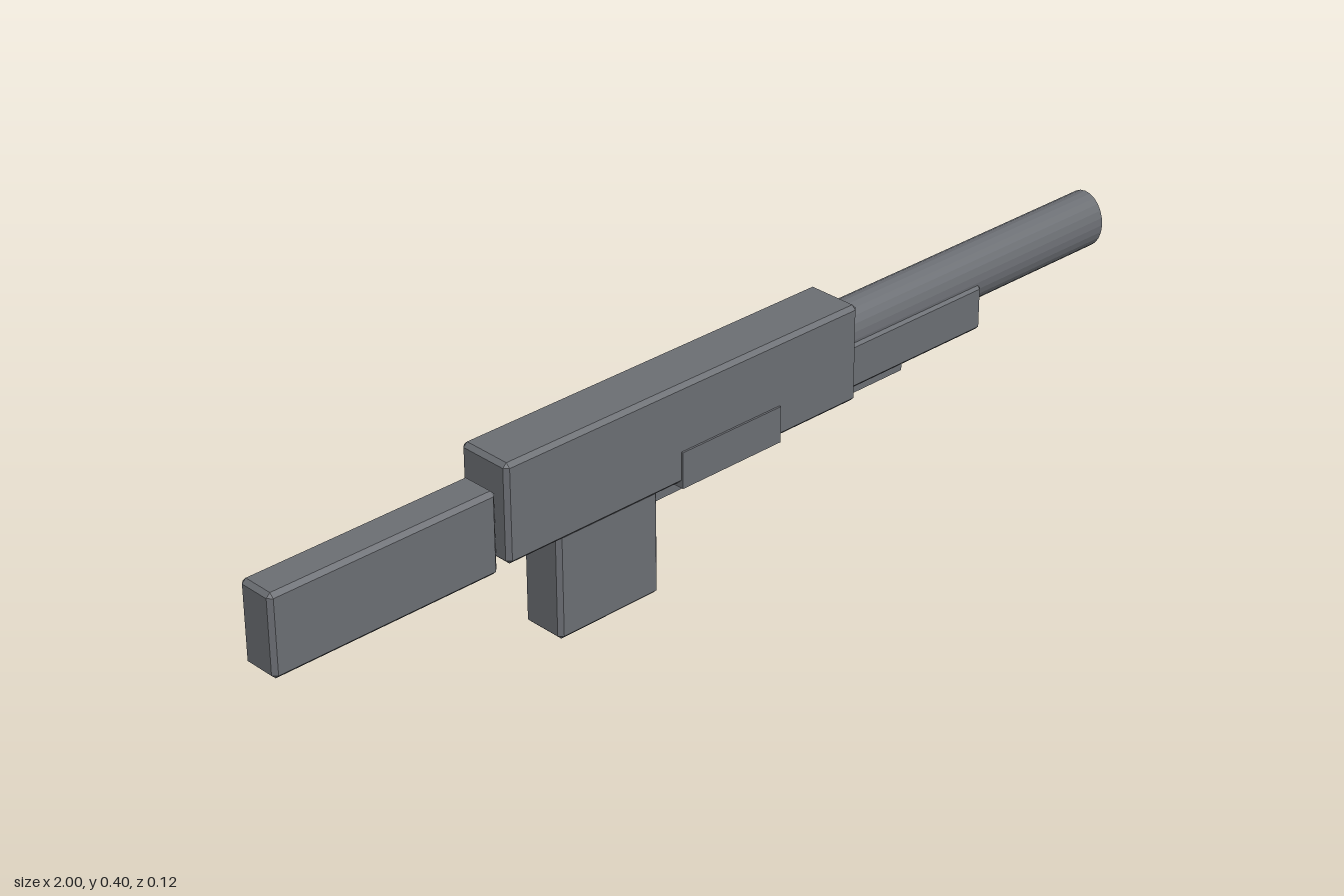
import * as THREE from 'three';
import { ConvexGeometry } from 'three/addons/geometries/ConvexGeometry.js';

// Box with every edge cut off by c, the hull of its three inset face pairs
function chamferBox(w, h, d, c) {
  const points = [];
  for (const sx of [-1, 1]) for (const sy of [-1, 1]) for (const sz of [-1, 1]) {
    for (let axis = 0; axis < 3; axis++) {
      const inset = [c, c, c];
      inset[axis] = 0;
      points.push(new THREE.Vector3(
        sx * (w / 2 - inset[0]), sy * (h / 2 - inset[1]), sz * (d / 2 - inset[2])));
    }
  }
  return new ConvexGeometry(points);
}

export function createModel() {
  const model = new THREE.Group();
  model.name = 'blockyModel';

  const gunmetal = new THREE.MeshStandardMaterial({ color: 0x6b6e73, flatShading: true });
  gunmetal.name = 'gunmetal';

  // Block given by its limits on each axis
  function block(name, [x0, x1], [y0, y1], [z0, z1], chamfer = 0) {
    const size = [x1 - x0, y1 - y0, z1 - z0];
    const geometry = chamfer ? chamferBox(...size, chamfer) : new THREE.BoxGeometry(...size);
    const mesh = new THREE.Mesh(geometry, gunmetal);
    mesh.name = name;
    mesh.position.set((x0 + x1) / 2, (y0 + y1) / 2, (z0 + z1) / 2);
    model.add(mesh);
  }

  // Chamfered main blocks
  block('body', [-0.52, 0.316], [0.206, 0.4], [-0.059, 0.056], 0.008);
  block('rearStock', [-1, -0.524], [0.185, 0.346], [-0.042, 0.036], 0.008);
  block('handle', [-0.4, -0.166], [0, 0.24], [-0.047, 0.046], 0.008);
  block('foreBlock', [0.28, 0.656], [0.226, 0.32], [-0.053, 0.05], 0.008);

  // Plain small blocks
  block('underGuard', [-0.167, 0.066], [0.172, 0.225], [-0.026, 0.025]);
  block('underRail', [0.23, 0.467], [0.2, 0.24], [-0.026, 0.025]);
  block('sidePlate', [-0.122, 0.118], [0.198, 0.27], [0.03, 0.06]);

  // Front tube, slightly oval
  const tube = new THREE.Mesh(new THREE.CylinderGeometry(1, 1, 0.72, 24), gunmetal);
  tube.name = 'frontTube';
  tube.rotation.z = -Math.PI / 2;
  tube.scale.set(0.057, 1, 0.046);
  tube.position.set(0.64, 0.323, -0.001);
  model.add(tube);

  return model;
}
